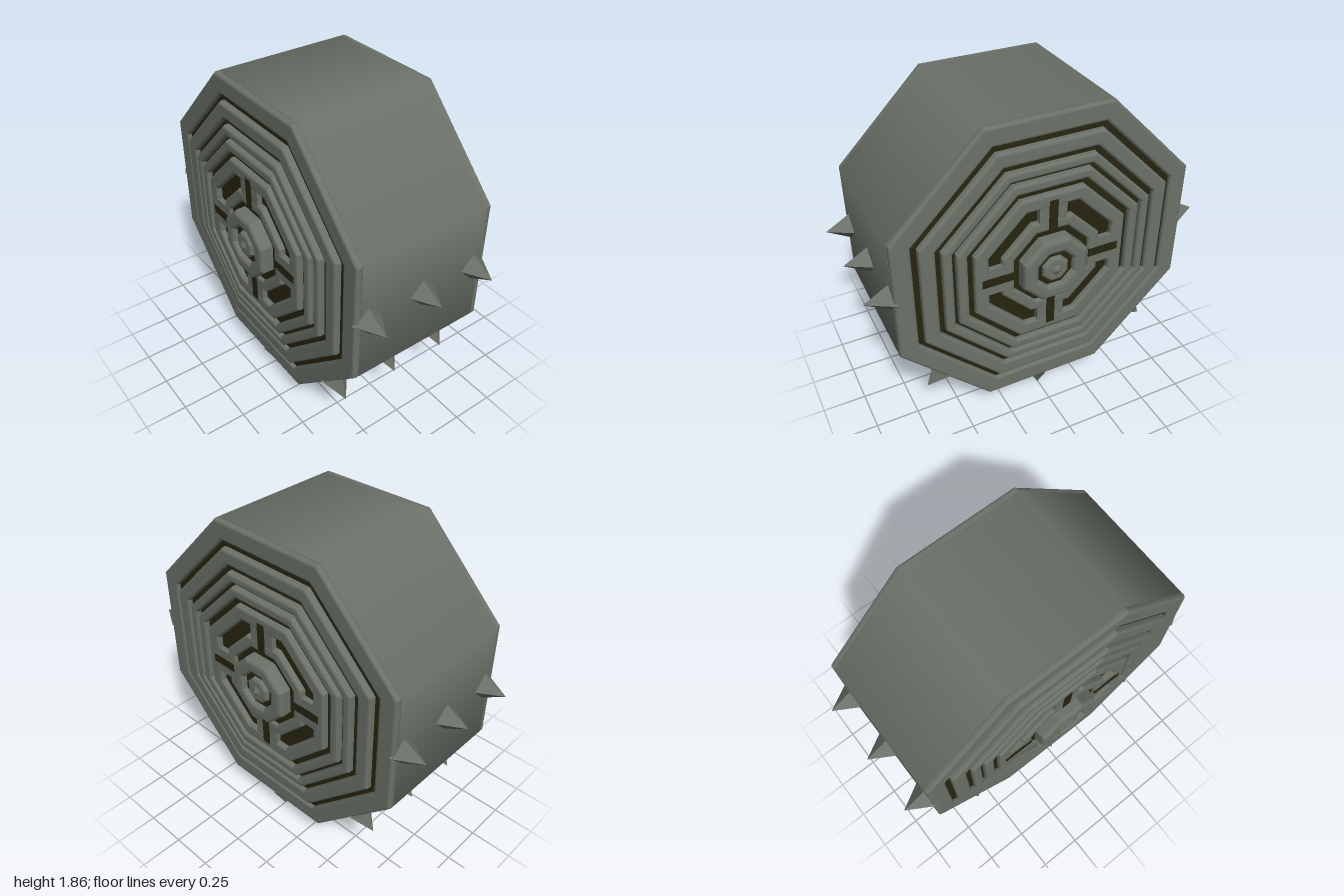
import * as THREE from 'three';

const stone = new THREE.MeshStandardMaterial({ color: 0x6b7168 });
stone.name = 'greyStone';
const groove = new THREE.MeshStandardMaterial({ color: 0x26240f });
groove.name = 'darkGroove';

// Corners of an octagon with flat top, given its centre-to-side distance
function octagon(a) {
  const r = a / Math.cos(Math.PI / 8);
  return Array.from({ length: 8 }, (_, i) => {
    const t = Math.PI / 8 + i * Math.PI / 4;
    return new THREE.Vector2(r * Math.cos(t), r * Math.sin(t));
  });
}

// Bevelled octagonal plate or ring from z0 to z1
function octRing(outer, inner, z0, z1, bevel) {
  const shape = new THREE.Shape(octagon(outer));
  if (inner > 0) shape.holes.push(new THREE.Path(octagon(inner).reverse()));
  const g = new THREE.ExtrudeGeometry(shape, {
    depth: z1 - z0 - 2 * bevel, bevelSize: bevel, bevelThickness: bevel,
    bevelOffset: -bevel, bevelSegments: 3,
  });
  return g.translate(0, 0, z0 + bevel);
}

// Add a named mesh to a parent
function add(parent, name, geometry, material = stone) {
  const m = new THREE.Mesh(geometry, material);
  m.name = name;
  parent.add(m);
  return m;
}

// One carved side face, facing +z before it is turned
function createFace() {
  const face = new THREE.Group();
  face.name = 'carvedFace';

  // Dark domed floor that shows in the grooves
  const floor = new THREE.CylinderGeometry(0.46, 0.84, 0.035, 8, 1, false, Math.PI / 8);
  add(face, 'grooveFloor', floor.rotateX(Math.PI / 2).translate(0, 0, 0.4225), groove);

  // Concentric ridges: outer, inner, height
  [[0.86, 0.752, 0.43], [0.72, 0.635, 0.447], [0.605, 0.552, 0.46], [0.532, 0.475, 0.467],
    [0.442, 0.362, 0.473], [0.285, 0.22, 0.473]].forEach(([o, i, z]) =>
    add(face, 'octagonRidge', octRing(o, i, 0.385, z, 0.016)));

  // Four spokes, each split by a dark slot
  for (let k = 0; k < 4; k++) {
    const quarter = new THREE.Group();
    quarter.name = 'mazeQuarter';
    quarter.rotation.z = k * Math.PI / 2;
    add(quarter, 'spoke', new THREE.BoxGeometry(0.13, 0.16, 0.05)).position.set(0.32, 0, 0.446);
    add(quarter, 'spokeSlot', new THREE.BoxGeometry(0.18, 0.05, 0.008), groove)
      .position.set(0.315, 0, 0.471);
    face.add(quarter);
  }

  // Raised hub with a dark well and a pointed boss
  add(face, 'hubBase', octRing(0.225, 0, 0.40, 0.455, 0.005), groove);
  add(face, 'hubRing', octRing(0.187, 0.102, 0.42, 0.53, 0.025));
  add(face, 'hubWell', octRing(0.12, 0, 0.44, 0.50, 0.005), groove);
  add(face, 'hubBoss', octRing(0.074, 0, 0.47, 0.525, 0.02));
  add(face, 'hubPoint', new THREE.ConeGeometry(0.035, 0.02, 8)
    .rotateX(Math.PI / 2).translate(0, 0, 0.533));
  return face;
}

export function createModel() {
  const model = new THREE.Group();
  model.name = 'spikedDrum';
  const drum = new THREE.Group();
  drum.name = 'drum';
  drum.position.y = 1;
  model.add(drum);

  // Octagonal body along x, softly shaded around the corners
  const radius = 0.86 / Math.cos(Math.PI / 8);
  add(drum, 'body', new THREE.CylinderGeometry(radius, radius, 0.79, 8, 1, false, Math.PI / 8)
    .rotateZ(Math.PI / 2));

  // The same carving on both sides
  for (const s of [-1, 1]) {
    const face = createFace();
    face.rotation.y = s * Math.PI / 2;
    drum.add(face);
  }

  // Rows of three spikes on the front, back and three lower sides
  const spike = new THREE.ConeGeometry(0.09, 0.155, 4).toNonIndexed();
  spike.computeVertexNormals();
  spike.translate(0, 0.9225, 0);
  for (let k = 2; k <= 6; k++) {
    const row = new THREE.Group();
    row.name = 'spikeRow';
    row.rotation.x = k * Math.PI / 4;
    for (const x of [-0.35, 0, 0.35]) add(row, 'spike', spike).position.x = x;
    drum.add(row);
  }
  return model;
}
